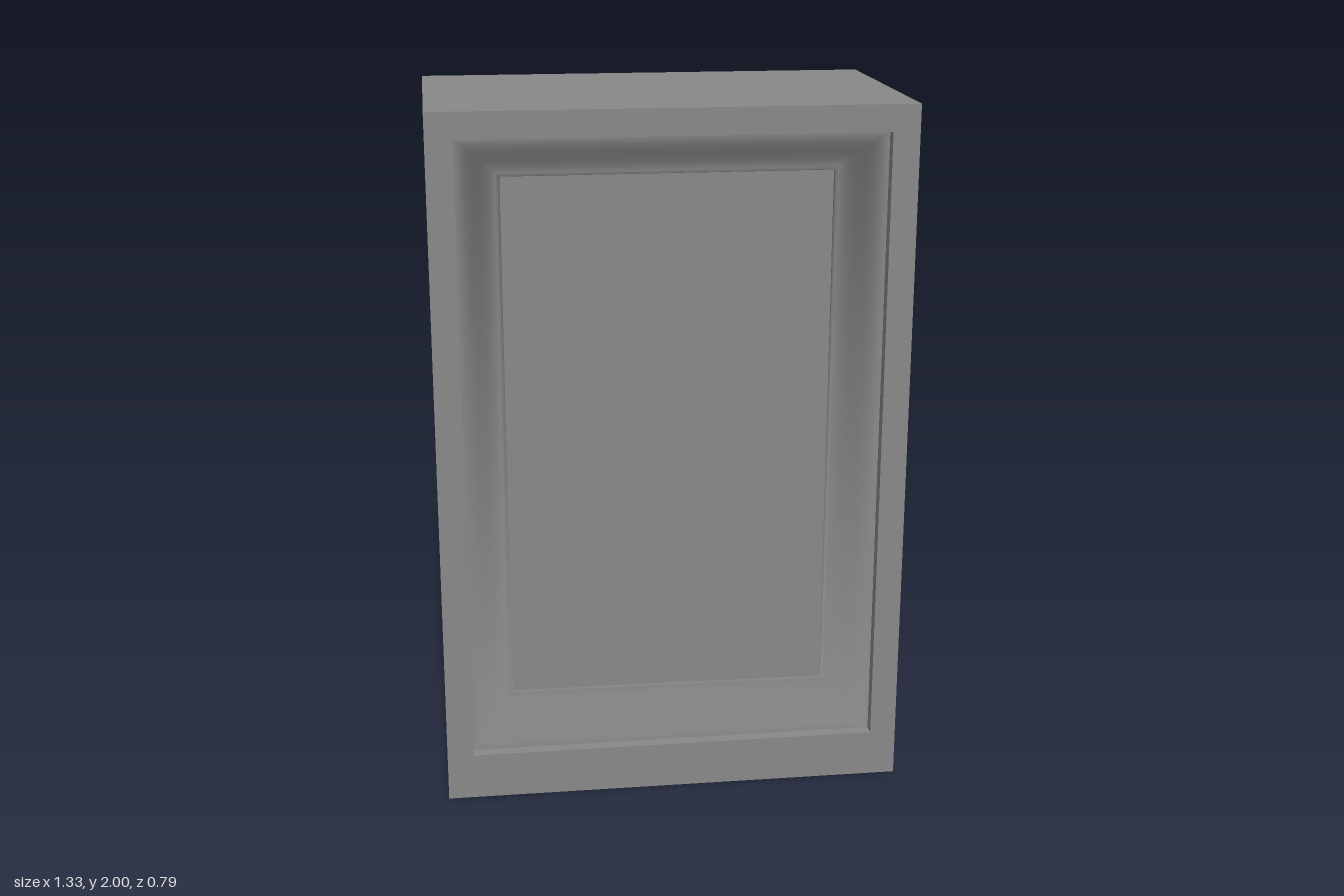
import * as THREE from 'three';
import { mergeVertices, toCreasedNormals } from 'three/addons/utils/BufferGeometryUtils.js';

const W = 1.33, H = 2, D = 0.79;
const SILL = 0.06; // extra height of the bottom rail
const LIP_INSET = 0.075, LIP_DEPTH = 0.035;
const PANEL_INSET = 0.2, PANEL_DEPTH = 0.157;
const material = new THREE.MeshStandardMaterial({ color: 0x888888 });

// Four corners of a rectangle set in from the outline, counter-clockwise
function ring([inset, z]) {
  const x = W / 2 - inset, bottom = inset > 0 ? inset + SILL : 0, top = H - inset;
  return [[-x, bottom, z], [x, bottom, z], [x, top, z], [-x, top, z]];
}

// Mitred band that joins successive rectangles of an [inset, z] profile
function mitredBand(profile) {
  const points = [];
  for (let i = 0; i < profile.length - 1; i++) {
    const near = ring(profile[i]), far = ring(profile[i + 1]);
    for (let k = 0; k < 4; k++) {
      const n = (k + 1) % 4;
      points.push(...near[k], ...far[k], ...far[n], ...near[k], ...far[n], ...near[n]);
    }
  }
  const geometry = new THREE.BufferGeometry();
  geometry.setAttribute('position', new THREE.Float32BufferAttribute(points, 3));
  return geometry;
}

function addMesh(parent, name, geometry) {
  const mesh = new THREE.Mesh(geometry, material);
  mesh.name = name;
  parent.add(mesh);
  return mesh;
}

export function createModel() {
  const model = new THREE.Group();
  model.name = 'recessedPanelCase';

  // Outer casing with sharp edges: front lip and face, four sides, back face and lip
  const casing = mitredBand([
    [LIP_INSET, D / 2 - LIP_DEPTH], [LIP_INSET, D / 2], [0, D / 2],
    [0, -D / 2], [LIP_INSET, -D / 2], [LIP_INSET, LIP_DEPTH - D / 2],
  ]);
  addMesh(model, 'casing', toCreasedNormals(casing, Math.PI / 6));

  // Moulding from panel to lip: small step, then an ogee, shaded softly round the mitres
  const ogeeEnd = 0.148, steps = 14;
  const profile = [[PANEL_INSET, D / 2 - PANEL_DEPTH]];
  for (let i = steps; i >= 0; i--) {
    const t = i / steps, s = t * t * (3 - 2 * t);
    profile.push([
      LIP_INSET + (PANEL_INSET - 0.003 - LIP_INSET) * t,
      D / 2 - LIP_DEPTH - (ogeeEnd - LIP_DEPTH) * s,
    ]);
  }
  const mouldingGeometry = mergeVertices(mitredBand(profile));
  mouldingGeometry.computeVertexNormals();
  const panelGeometry = new THREE.PlaneGeometry(W - 2 * PANEL_INSET, H - 2 * PANEL_INSET - SILL);

  // The same recess on the front and on the back
  for (const side of ['front', 'back']) {
    const recess = new THREE.Group();
    recess.name = side + 'Recess';
    addMesh(recess, side + 'Moulding', mouldingGeometry);
    addMesh(recess, side + 'Panel', panelGeometry)
      .position.set(0, H / 2 + SILL / 2, D / 2 - PANEL_DEPTH);
    if (side === 'back') recess.rotation.y = Math.PI;
    model.add(recess);
  }
  return model;
}
